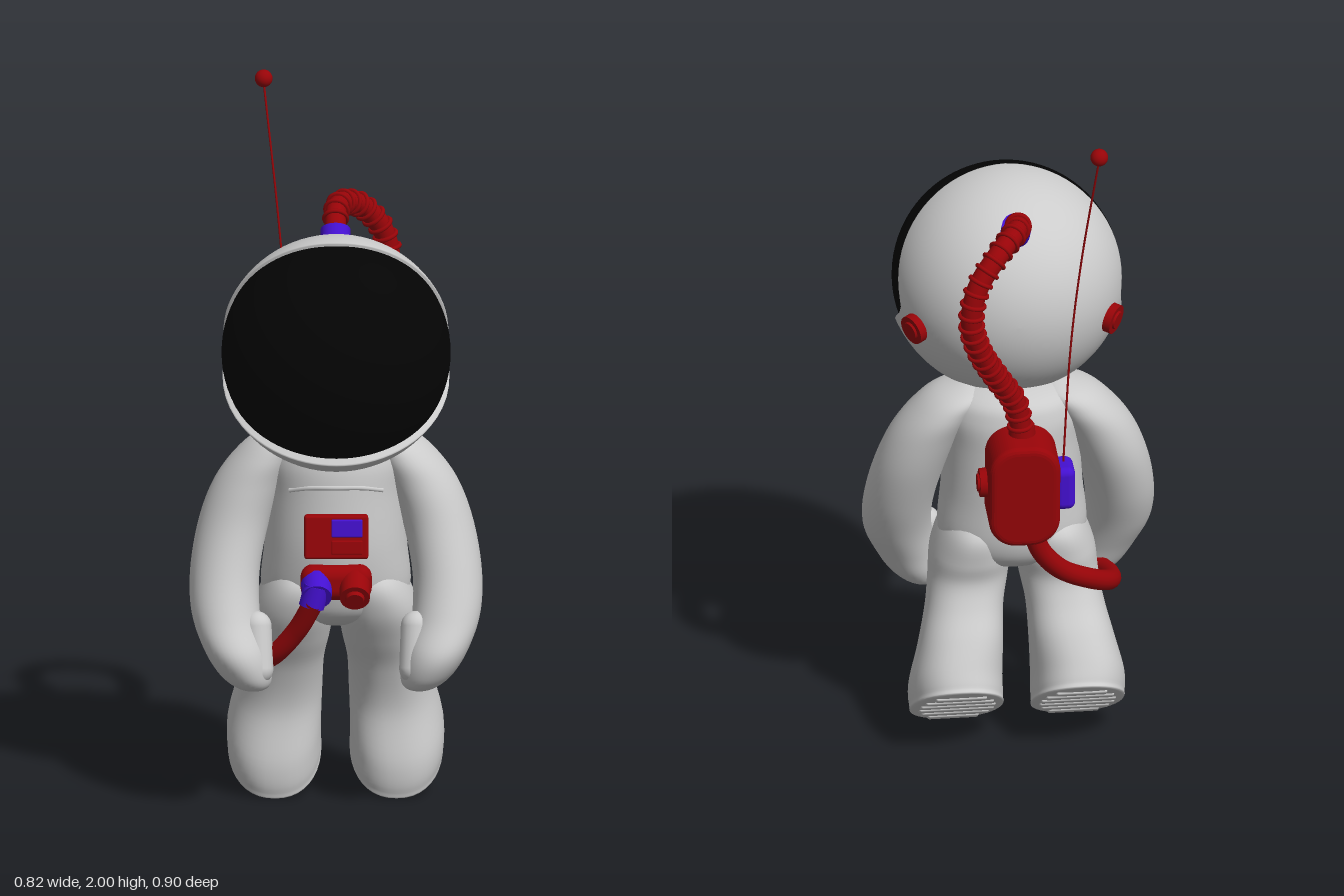
import * as THREE from 'three';
import { RoundedBoxGeometry } from 'three/addons/geometries/RoundedBoxGeometry.js';

const V = (x, y, z) => new THREE.Vector3(x, y, z);
const rad = THREE.MathUtils.degToRad;
const mat = (color) => new THREE.MeshStandardMaterial({ color });

// Smooth surface from rows of closed rings; fn(v, angle) gives a point
function ringSurface(fn, rows, seg) {
  const pos = [], idx = [];
  for (let j = 0; j <= rows; j++)
    for (let i = 0; i < seg; i++) pos.push(...fn(j / rows, (i / seg) * Math.PI * 2).toArray());
  for (let j = 0; j < rows; j++)
    for (let i = 0; i < seg; i++) {
      const a = j * seg + i, b = j * seg + (i + 1) % seg;
      idx.push(a, a + seg, b, b, a + seg, b + seg);
    }
  const g = new THREE.BufferGeometry();
  g.setAttribute('position', new THREE.Float32BufferAttribute(pos, 3));
  g.setIndex(idx);
  g.computeVertexNormals();
  return g;
}

// Loft through sections [x, y, z, radiusX, radiusZ, pitch], listed bottom to top;
// a power below 1 makes the sections squarer
function loft(sections, side = 1, power = 1) {
  const centres = new THREE.CatmullRomCurve3(sections.map(s => V(s[0] * side, s[1], s[2])), false, 'catmullrom');
  const sizes = new THREE.CatmullRomCurve3(sections.map(s => V(s[3], s[4], rad(s[5] || 0))), false, 'catmullrom');
  const soft = (c) => Math.sign(c) * Math.abs(c) ** power;
  return ringSurface((v, a) => {
    const c = centres.getPoint(v), s = sizes.getPoint(v);
    return V(Math.max(s.x, 0.0005) * soft(Math.cos(a)), 0, Math.max(s.y, 0.0005) * soft(Math.sin(a)))
      .applyAxisAngle(V(1, 0, 0), s.z).add(c);
  }, (sections.length - 1) * 6, 40);
}

export function createModel() {
  const root = new THREE.Group();
  const grey = mat(0xcccccc), red = mat(0x980408), blue = mat(0x4410d0), black = mat(0x040404);

  function add(name, geometry, material, at, parent = root) {
    const m = new THREE.Mesh(geometry, material);
    m.name = name;
    if (at) m.position.copy(at);
    parent.add(m);
    return m;
  }
  // Cylinder from p to q
  function rod(name, p, q, r0, r1, material) {
    const d = q.clone().sub(p);
    const m = add(name, new THREE.CylinderGeometry(r1, r0, d.length(), 28), material, p.clone().add(q).multiplyScalar(0.5));
    m.quaternion.setFromUnitVectors(V(0, 1, 0), d.normalize());
  }
  const path = (pts) => new THREE.CatmullRomCurve3(pts.map(p => V(...p)));

  // Helmet: sphere cut by an upper and a lower plane, leaving the visor opening
  const head = V(0, 1.33, 0.128);
  const cut = (A, B, C) => Math.atan2(B, A) + Math.acos(C / Math.hypot(A, B));
  function opening(phi) {
    const s = Math.sin(phi);
    const up = cut(1, -0.468 * s, -0.318) + 0.06 * Math.max(0, s) * Math.abs(Math.cos(phi));
    const low = cut(0.69, s, Math.max(-0.364, -0.98 * Math.hypot(0.69, s)));
    return (up + low - Math.hypot(up - low, 0.1)) / 2 + 0.02;
  }
  const onSphere = (r, theta, phi) => V(
    r * Math.sin(theta) * Math.cos(phi), r * Math.sin(theta) * Math.sin(phi), r * Math.cos(theta));
  const rim = [0.332, 0.328, 0.318, 0.305];
  add('helmet', ringSurface((v, a) => {
    const j = Math.round(v * 44), edge = opening(-a);
    const lip = 0.012 * Math.max(0, Math.sin(-a)  * -1);
    if (j <= 40) return onSphere(0.332 + lip * (j / 40) ** 6, Math.PI + (edge + 0.012 - Math.PI) * j / 40, -a);
    return onSphere(rim[j - 41] + lip, edge, -a);
  }, 44, 80), grey, head);
  add('visor', ringSurface((v, a) => onSphere(0.322, (opening(-a) + 0.06) * (1 - v), -a), 32, 80), black, head);

  // Ear caps
  for (const side of [1, -1]) {
    const n = V(0.27 * side, -0.06, -0.175).normalize();
    const p = (r) => head.clone().addScaledVector(n, r);
    rod('earCap', p(0.3), p(0.352), 0.043, 0.043, red);
    rod('earCapCentre', p(0.35), p(0.358), 0.028, 0.025, red);
  }

  // Torso
  add('torso', loft([
    [0, 0.505, -0.01, 0.001, 0.001], [0, 0.512, -0.01, 0.07, 0.06], [0, 0.55, -0.01, 0.175, 0.135],
    [0, 0.62, -0.012, 0.21, 0.168], [0, 0.75, -0.005, 0.2, 0.18], [0, 0.9, -0.008, 0.192, 0.175],
    [0, 1.0, -0.01, 0.195, 0.165], [0, 1.06, -0.01, 0.155, 0.13], [0, 1.1, -0.01, 0.001, 0.001],
  ]), grey);
  add('chestSeam', new THREE.TubeGeometry(path([
    [-0.13, 0.925, 0.117], [-0.07, 0.94, 0.15], [0, 0.943, 0.162], [0.07, 0.94, 0.15], [0.13, 0.925, 0.117],
  ]), 24, 0.007, 8), grey);

  for (const side of [1, -1]) {
    const label = side > 0 ? 'left' : 'right';
    // Arm with mitten hand
    add(label + 'Arm', loft([
      [0.23, 0.36, 0.17, 0.001, 0.001], [0.235, 0.37, 0.17, 0.045, 0.06], [0.255, 0.41, 0.17, 0.075, 0.095],
      [0.283, 0.48, 0.16, 0.09, 0.114], [0.31, 0.57, 0.115, 0.096, 0.112], [0.312, 0.68, 0.065, 0.098, 0.113],
      [0.287, 0.81, 0.02, 0.1, 0.115], [0.245, 0.92, -0.002, 0.1, 0.117], [0.195, 1.0, -0.012, 0.092, 0.115],
      [0.145, 1.055, -0.015, 0.075, 0.09], [0.12, 1.085, -0.015, 0.001, 0.001],
    ], side), grey);
    const thumb = add(label + 'Thumb', new THREE.CapsuleGeometry(0.043, 0.12, 8, 20), grey, V(0.222 * side, 0.485, 0.185));
    thumb.rotation.set(-0.3, 0, -0.04 * side);

    // Leg and boot, pitched toe down
    add(label + 'Leg', loft([
      [0.17, 0.112, -0.148, 0.001, 0.001, 37.5], [0.17, 0.112, -0.148, 0.118, 0.176, 37.5],
      [0.172, 0.128, -0.136, 0.131, 0.19, 37.5], [0.172, 0.19, -0.12, 0.131, 0.176, 35],
      [0.157, 0.3, -0.11, 0.12, 0.13, 27], [0.142, 0.4, -0.07, 0.11, 0.113, 15],
      [0.128, 0.48, -0.033, 0.112, 0.122, 7], [0.118, 0.56, -0.015, 0.113, 0.15, 0],
      [0.108, 0.64, -0.01, 0.09, 0.155, 0], [0.1, 0.7, 0, 0.05, 0.1, 0],
    ], side, 0.9), grey);
    // Boot treads
    const sole = new THREE.Group();
    sole.name = label + 'SoleTreads';
    sole.position.set(0.17 * side, 0.112, -0.148);
    sole.rotation.x = rad(37.5);
    root.add(sole);
    for (let i = -2.5; i <= 2.5; i++) {
      const z = i * 0.052, w = 0.215 * Math.sqrt(1 - (z / 0.176) ** 2);
      add('tread', new RoundedBoxGeometry(w, 0.014, 0.034, 3, 0.007), grey, V(0, 0, z), sole);
    }
  }

  // Backpack: rounded slab, leaning slightly back at the bottom
  const slab = new THREE.Shape(), w = 0.08, h = 0.14, r = 0.06;
  slab.moveTo(w, h - r);
  slab.absarc(w - r, h - r, r, 0, Math.PI / 2);
  slab.absarc(r - w, h - r, r, Math.PI / 2, Math.PI);
  slab.absarc(r - w, r - h, r, Math.PI, Math.PI * 1.5);
  slab.absarc(w - r, r - h, r, Math.PI * 1.5, Math.PI * 2);
  slab.closePath();
  const pack = add('backpack', new THREE.ExtrudeGeometry(slab, {
    depth: 0.118, bevelThickness: 0.016, bevelSize: 0.02, bevelSegments: 4, curveSegments: 10,
  }).translate(0, 0, -0.059), red, V(0, 0.87, -0.275));
  pack.rotation.x = -0.07;
  rod('packKnob', V(0.09, 0.875, -0.255), V(0.12, 0.875, -0.255), 0.043, 0.04, red);
  rod('packKnobCentre', V(0.11, 0.875, -0.255), V(0.126, 0.875, -0.255), 0.027, 0.025, red);
  add('antennaMount', new RoundedBoxGeometry(0.06, 0.13, 0.104, 4, 0.022), blue, V(-0.116, 0.87, -0.272));
  rod('hoseSocket', V(0, 1.01, -0.262), V(0, 1.055, -0.262), 0.04, 0.036, red);

  // Antenna
  add('antenna', new THREE.TubeGeometry(path([
    [-0.115, 0.9, -0.265], [-0.135, 1.3, -0.285], [-0.16, 1.6, -0.335], [-0.2, 1.965, -0.425],
  ]), 32, 0.003, 8), red);
  add('antennaBall', new THREE.SphereGeometry(0.025, 24, 16), red, V(-0.2, 1.975, -0.428));

  // Ribbed air hose from helmet to backpack
  rod('helmetSocket', V(0, 1.56, -0.083), V(0, 1.615, -0.134), 0.042, 0.042, blue);
  const hose = path([
    [0, 1.595, -0.115], [0, 1.63, -0.16], [0.003, 1.652, -0.2], [0.02, 1.66, -0.26], [0.075, 1.63, -0.33],
    [0.135, 1.55, -0.365], [0.155, 1.445, -0.37], [0.13, 1.34, -0.345], [0.075, 1.23, -0.305],
    [0.02, 1.13, -0.272], [0, 1.02, -0.262],
  ]);
  add('airHose', new THREE.TubeGeometry(hose, 90, 0.03, 16), red);
  const ring = new THREE.TorusGeometry(0.032, 0.0065, 8, 24), ribs = 27;
  for (let i = 2; i < ribs; i++) {
    const t = i / ribs;
    add('hoseRib', ring, red, hose.getPointAt(t))
      .quaternion.setFromUnitVectors(V(0, 0, 1), hose.getTangentAt(t));
  }

  // Smooth hose from backpack round the right hip to the belt
  add('beltHose', new THREE.TubeGeometry(path([
    [-0.03, 0.74, -0.27], [-0.05, 0.66, -0.262], [-0.11, 0.58, -0.235], [-0.2, 0.515, -0.18], [-0.265, 0.465, -0.1],
    [-0.275, 0.435, 0], [-0.24, 0.425, 0.095], [-0.18, 0.455, 0.16], [-0.11, 0.54, 0.2], [-0.064, 0.63, 0.235],
  ]), 80, 0.029, 16), red);

  // Chest panel
  const panel = new THREE.Group();
  panel.name = 'chestPanel';
  panel.position.set(0, 0.808, 0.185);
  panel.rotation.x = -0.1;
  root.add(panel);
  add('panelBase', new RoundedBoxGeometry(0.18, 0.125, 0.036, 3, 0.008), red, null, panel);
  add('panelScreen', new RoundedBoxGeometry(0.088, 0.05, 0.022, 2, 0.004), blue, V(0.03, 0.027, 0.018), panel);
  add('panelButton', new RoundedBoxGeometry(0.088, 0.04, 0.014, 2, 0.004), red, V(0.03, -0.028, 0.017), panel);

  // Belt unit with two angled ports
  add('beltUnit', new RoundedBoxGeometry(0.2, 0.1, 0.08, 5, 0.035), red, V(0, 0.672, 0.172));
  const port = (x, k) => V(x, 0.675 - 0.45 * k, 0.18 + 0.89 * k);
  rod('leftPort', port(0.052, 0), port(0.052, 0.07), 0.044, 0.042, red);
  rod('leftPortCap', port(0.052, 0.065), port(0.052, 0.083), 0.028, 0.025, red);
  rod('rightPort', port(-0.055, 0), port(-0.055, 0.065), 0.044, 0.042, blue);
  rod('rightPortCollar', V(-0.055, 0.675, 0.222), V(-0.07, 0.615, 0.224), 0.036, 0.036, blue);

  return root;
}
